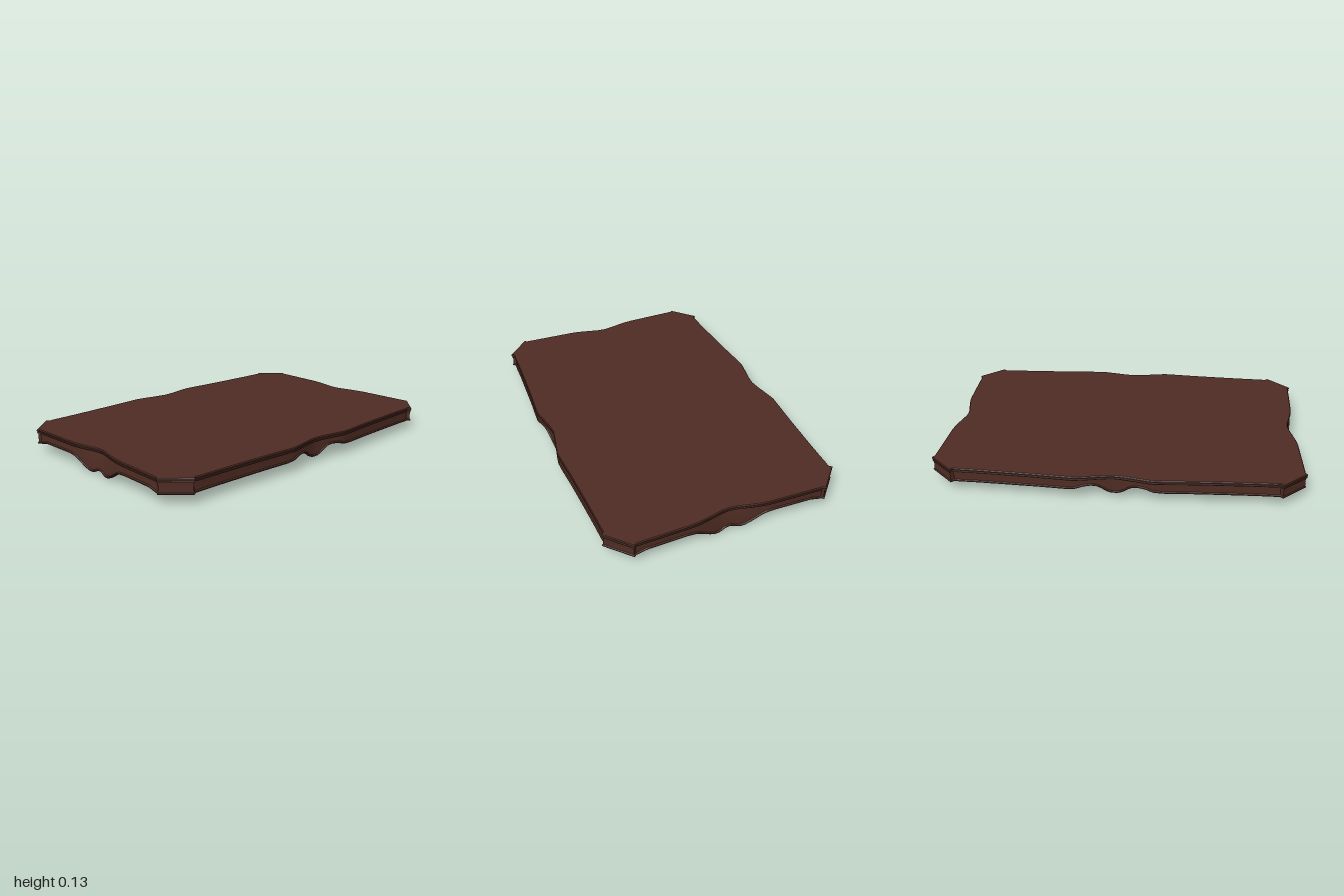
import * as THREE from 'three';
import { toCreasedNormals } from 'three/addons/utils/BufferGeometryUtils.js';

// Quarter of the plan as [x, z]: front centre, clipped corner block, side centre
const FRONT = [[0, 0.937], [0.04, 0.941], [0.1, 0.955], [0.19, 0.972], [0.3, 0.977], [0.51, 0.983]];
const CORNER = [[0.525, 0.993], [0.646, 0.863], [0.63, 0.846]];
const SIDE = [[0.634, 0.82], [0.637, 0.7], [0.65, 0.42], [0.662, 0.24], [0.662, 0.19], [0.645, 0.1], [0.634, 0.04], [0.63, 0]];

// Height of the apron's lower edge as [distance from centre, y]
const FRONT_EDGE = [[0, 0.021], [0.02, 0.017], [0.045, 0.006], [0.065, 0.003], [0.085, 0.006], [0.11, 0.017],
  [0.15, 0.04], [0.175, 0.055], [0.2, 0.063], [0.24, 0.067], [0.45, 0.067], [0.5, 0.056]];
const SIDE_EDGE = [[0, 0.03], [0.02, 0.032], [0.04, 0.04], [0.07, 0.062], [0.09, 0.073], [0.12, 0.079],
  [0.16, 0.076], [0.2, 0.064], [0.25, 0.059], [0.83, 0.056]];

function lookUp(keys, t) {
  for (let i = 1; i < keys.length; i++) {
    if (t <= keys[i][0]) {
      const [a, b] = [keys[i - 1], keys[i]];
      return THREE.MathUtils.lerp(a[1], b[1], (t - a[0]) / (b[0] - a[0]));
    }
  }
  return keys[keys.length - 1][1];
}

// Closed outline mirrored from the quarter, with an outward normal per point
function makeOutline() {
  const curve = (pts, n) => new THREE.SplineCurve(pts.map(p => new THREE.Vector2(...p))).getSpacedPoints(n);
  const q = [...curve(FRONT, 50), ...CORNER.map(p => new THREE.Vector2(...p)), ...curve(SIDE, 80)];
  const flip = (pts, sx, sz) => pts.map(p => new THREE.Vector2(p.x * sx, p.y * sz));
  const back = flip(q, 1, -1).reverse().slice(1);
  const half = [...q, ...back];
  const all = [...half, ...flip(half, -1, 1).reverse().slice(1, -1)];
  const n = all.length;
  return all.map((p, i) => {
    const a = p.clone().sub(all[(i + n - 1) % n]).normalize();
    const b = all[(i + 1) % n].clone().sub(p).normalize();
    const t = a.add(b).normalize();
    return { x: p.x, z: p.y, nx: -t.y, nz: t.x };
  });
}

// Sweeps a section of [outward offset, y] points around the outline
function sweep(outline, section) {
  const pos = [], index = [], n = outline.length;
  const rows = outline.map(p => section(p));
  const m = rows[0].length;
  outline.forEach((p, i) => rows[i].forEach(([d, y]) => pos.push(p.x + p.nx * d, y, p.z + p.nz * d)));
  for (let i = 0; i < n; i++) {
    const k = (i + 1) % n;
    for (let j = 0; j < m - 1; j++) {
      const a = i * m + j, b = k * m + j;
      index.push(a, b, b + 1, a, b + 1, a + 1);
    }
  }
  const g = new THREE.BufferGeometry();
  g.setAttribute('position', new THREE.Float32BufferAttribute(pos, 3));
  g.setIndex(index);
  return toCreasedNormals(g, 0.6);
}

// Flat face filling the outline, facing up (1) or down (-1)
function face(outline, inset, y, dir) {
  const pts = outline.map(p => new THREE.Vector2(p.x - p.nx * inset, -dir * (p.z - p.nz * inset)));
  return new THREE.ShapeGeometry(new THREE.Shape(pts)).rotateX(-dir * Math.PI / 2).translate(0, y, 0);
}

export function createModel() {
  const group = new THREE.Group();
  group.name = 'tableTop';
  const wood = new THREE.MeshStandardMaterial({ color: 0x4f2c23 });
  wood.name = 'darkWood';
  const add = (name, geometry) => {
    const mesh = new THREE.Mesh(geometry, wood);
    mesh.name = name;
    group.add(mesh);
  };
  const outline = makeOutline();

  // Board with a stepped moulded rim
  add('boardRim', sweep(outline, () => [
    [-0.012, 0.112], [-0.003, 0.113], [-0.002, 0.119], [-0.006, 0.122],
    [-0.001, 0.125], [0, 0.132], [-0.004, 0.137]]));
  add('boardTop', face(outline, 0.004, 0.137, 1));
  add('boardUnderside', face(outline, 0.012, 0.112, -1));

  // Thin apron with a scalloped lower edge and a raised bead
  add('apron', sweep(outline, p => {
    const ax = Math.abs(p.x), az = Math.abs(p.z);
    const isFront = az > 0.9 && ax < 0.515, isSide = az < 0.84;
    const b = isFront ? lookUp(FRONT_EDGE, ax) : isSide ? lookUp(SIDE_EDGE, az) : 0.055;
    const bulge = isFront ? 0.014 * Math.exp(-((ax / 0.12) ** 2)) : 0;
    return [
      [-0.022, 0.113], [-0.022 + bulge, b + 0.002], [-0.019 + bulge, b], [-0.006 + bulge, b],
      [-0.002 + bulge, b + 0.003], [-0.002 + bulge, b + 0.008], [-0.008 + bulge, b + 0.012],
      [-0.009 + bulge * 0.8, (b + 0.125) / 2], [-0.009, 0.113]];
  }));
  return group;
}
